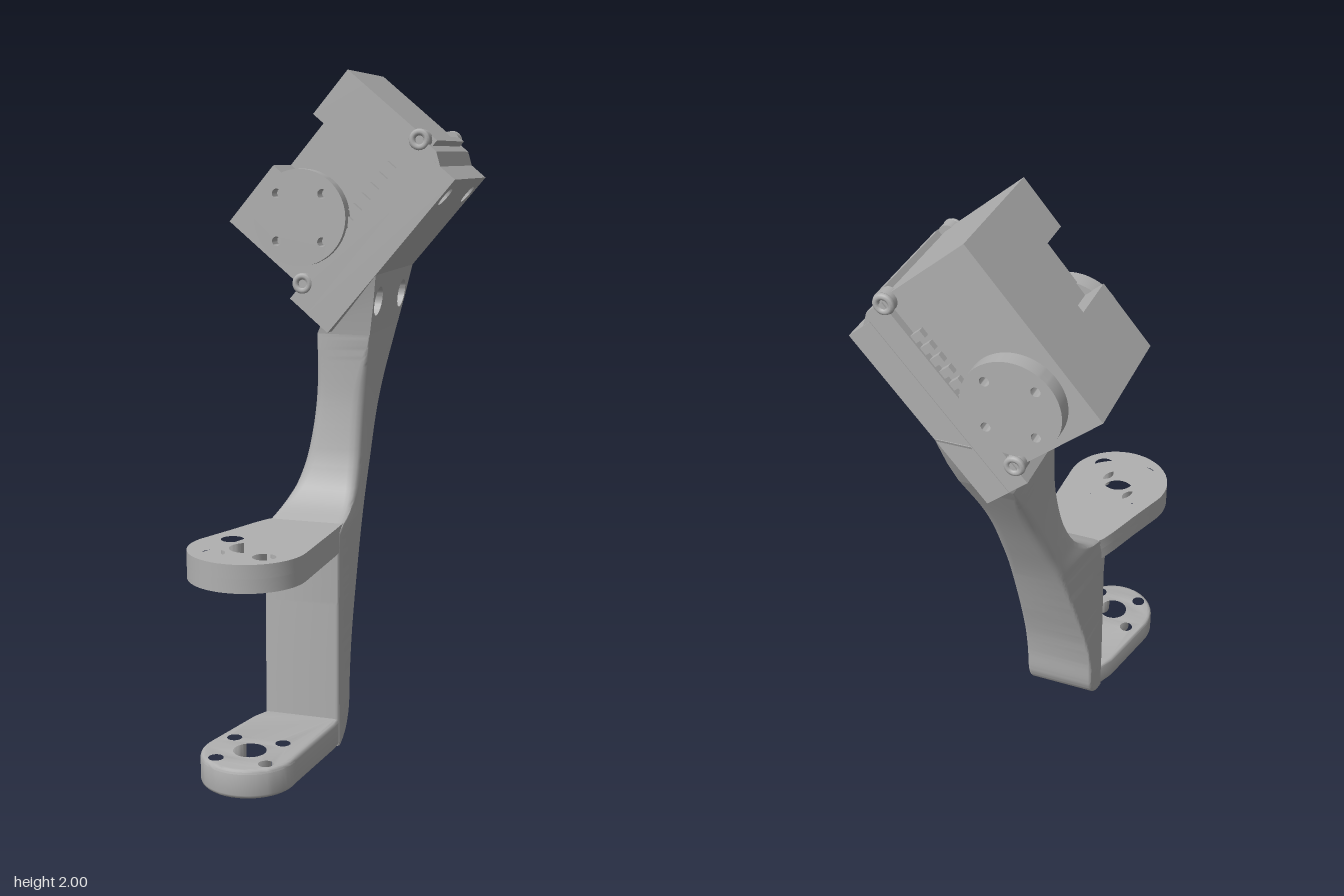
import * as THREE from 'three';
import { toCreasedNormals } from 'three/addons/utils/BufferGeometryUtils.js';

const grey = new THREE.MeshStandardMaterial({ color: 0xb0b0b0 });
grey.name = 'grey';
const V = (x, y) => new THREE.Vector2(x, y);

function add(parent, name, geometry, x = 0, y = 0, z = 0) {
  const mesh = new THREE.Mesh(geometry, grey);
  mesh.name = name;
  mesh.position.set(x, y, z);
  parent.add(mesh);
  return mesh;
}

// Box given by its limits on each axis
function slab(parent, name, x0, x1, y0, y1, z0, z1) {
  return add(parent, name, new THREE.BoxGeometry(x1 - x0, y1 - y0, z1 - z0),
    (x0 + x1) / 2, (y0 + y1) / 2, (z0 + z1) / 2);
}

// Shape with round holes, each hole being [x, y, radius]
function plateShape(points, holes = []) {
  const shape = new THREE.Shape(points);
  for (const [x, y, r] of holes) {
    shape.holes.push(new THREE.Path().absarc(x, y, r, 0, Math.PI * 2, true));
  }
  return shape;
}

function extrude(shape, depth, bevel = 0) {
  return new THREE.ExtrudeGeometry(shape, {
    depth: depth - 2 * bevel, curveSegments: 20, bevelEnabled: bevel > 0,
    bevelSize: bevel, bevelThickness: bevel, bevelOffset: -bevel, bevelSegments: 3,
  }).translate(0, 0, bevel);
}

// Smooth look-up in a table of [y, value]
function lookup(table, y) {
  const last = table.length - 1;
  if (y <= table[0][0]) return table[0][1];
  if (y >= table[last][0]) return table[last][1];
  const i = table.findIndex(([ty]) => ty > y) - 1;
  const slope = (k) => {
    const [y0, a] = table[Math.max(k - 1, 0)], [y1, b] = table[Math.min(k + 1, last)];
    return (b - a) / (y1 - y0);
  };
  const [y0, a] = table[i], [y1, b] = table[i + 1], h = y1 - y0, t = (y - y0) / h;
  return a + (b - a) * t * t * (3 - 2 * t)
    + h * t * (1 - t) * ((1 - t) * slope(i) - t * slope(i + 1));
}

// Lever with a round end, hub hole and four screw holes, lying flat
const HUB_X = -0.07, HUB_Z = 0.51;
function lever(parent, name, r, root, y0, y1, hubR, screwR, bevel) {
  const pts = [V(0.105, -root[0][1]), V(0.105, -0.25)];
  for (let i = 0; i <= 28; i++) {
    const t = (i / 28) * Math.PI * 1.1;
    pts.push(V(HUB_X + r * Math.cos(t), -HUB_Z - r * Math.sin(t)));
  }
  for (const [x, z] of [...root].reverse()) pts.push(V(x, -z));
  const holes = [[HUB_X, -HUB_Z, hubR]];
  for (let i = 0; i < 4; i++) {
    const t = Math.PI / 4 + i * Math.PI / 2;
    holes.push([HUB_X + 0.105 * Math.cos(t), -HUB_Z + 0.105 * Math.sin(t), screwR]);
  }
  const g = extrude(plateShape(pts, holes), y1 - y0, bevel).rotateX(-Math.PI / 2);
  add(parent, name, toCreasedNormals(g, 0.6), 0, y0, 0);
}

// Stem limits by height: back and front in z, edges in x
const STEM_TOP = 1.22;
const zMin = [[0, 0.195], [0.01, 0.165], [0.03, 0.135], [0.06, 0.112], [0.1, 0.098], [0.2, 0.09],
  [0.32, 0.068], [0.5, 0.012], [0.68, -0.055], [0.85, -0.135], [1.0, -0.213], [1.22, -0.34]];
const zMax = [[0, 0.218], [0.64, 0.218], [0.66, 0.215], [0.68, 0.18], [0.69, 0.147],
  [0.705, 0.115], [0.73, 0.085], [0.76, 0.06], [0.81, 0.037], [0.87, 0.02], [1.0, 0.001],
  [1.1, -0.004], [1.22, -0.005]];
const xLowInner = [[0, -0.126], [0.5, -0.126], [0.66, -0.126], [0.76, -0.085], [0.85, -0.06],
  [1.0, -0.04], [1.22, -0.03]];
const xLowOuter = [[0, -0.126], [0.2, -0.126], [0.44, -0.1], [0.68, -0.07], [0.85, -0.052],
  [1.0, -0.04], [1.22, -0.03]];
const xHigh = [[0, 0.107], [0.6, 0.107], [0.8, 0.113], [1.0, 0.117], [1.22, 0.135]];
const cornerRadius = [[0, 0.012], [0.6, 0.014], [0.8, 0.035], [1.05, 0.035], [1.22, 0.003]];

// Rounded four-cornered section of the stem at height y
function stemSection(y) {
  const a = lookup(zMin, y), b = lookup(zMax, y), h = lookup(xHigh, y);
  const corners = [V(lookup(xLowInner, y), b), V(h, b), V(h, a), V(lookup(xLowOuter, y), a)];
  return corners.flatMap((c, i) => {
    const toward = (o) => c.clone().lerp(o, Math.min(0.45, lookup(cornerRadius, y) / c.distanceTo(o)));
    return new THREE.QuadraticBezierCurve(toward(corners[(i + 3) % 4]), c, toward(corners[(i + 1) % 4])).getPoints(4);
  });
}

function stemGeometry() {
  const rows = 122, n = 20, positions = [], index = [];
  for (let i = 0; i <= rows; i++) {
    const y = STEM_TOP * i / rows;
    for (const p of stemSection(y)) positions.push(p.x, y, p.y);
  }
  for (let i = 0; i < rows; i++) {
    for (let j = 0; j < n; j++) {
      const a = i * n + j, b = i * n + (j + 1) % n;
      index.push(a, b, b + n, a, b + n, a + n);
    }
  }
  for (let j = 1; j < n - 1; j++) index.push(0, j + 1, j);
  const g = new THREE.BufferGeometry();
  g.setAttribute('position', new THREE.Float32BufferAttribute(positions, 3));
  g.setIndex(index);
  return toCreasedNormals(g, 0.6);
}

function buildBracket() {
  const bracket = new THREE.Group();
  bracket.name = 'bracket';

  // Levers; the upper one is two layers to give counterbored screw holes
  const upperRoot = [[-0.095, 0.15], [-0.126, 0.19], [-0.148, 0.24], [-0.185, 0.34]];
  lever(bracket, 'lowerLever', 0.14, [[-0.124, 0.205], [-0.15, 0.26]], 0, 0.085, 0.06, 0.034, 0.012);
  lever(bracket, 'upperLeverBase', 0.17, upperRoot, 0.6, 0.64, 0.053, 0.02, 0);
  lever(bracket, 'upperLeverTop', 0.17, upperRoot, 0.64, 0.68, 0.053, 0.033, 0);
  add(bracket, 'stem', stemGeometry());

  // Head of the stem, with two screwdriver holes, leaning onto the mounting plate
  const outline = [[-0.34, STEM_TOP], [-0.383, 1.31], [-0.42, 1.41], [0.04, 1.41], [0.01, 1.31], [-0.005, STEM_TOP]];
  const holes = [-0.046, -0.326].map((z) => [-z, 1.32, 0.044]);
  const g = extrude(plateShape(outline.map(([z, y]) => V(-z, y)), holes), 1).rotateY(Math.PI / 2);
  const p = g.attributes.position;
  for (let i = 0; i < p.count; i++) {
    const t = (p.getY(i) - STEM_TOP) / (1.41 - STEM_TOP);
    const low = -0.03 + 0.09 * t, high = 0.135 + 0.03 * t;
    p.setX(i, low + (high - low) * p.getX(i));
  }
  add(bracket, 'stemHead', toCreasedNormals(g, 0.6));
  return bracket;
}

function buildActuator() {
  // Local x points to the mounting plate, y along the case, z along the output axis
  const motor = new THREE.Group();
  motor.name = 'actuator';
  const H = 0.203;

  // Case with a notch in its back
  slab(motor, 'case', 0.066, 0.3, -0.58, 0, -H, H);
  slab(motor, 'caseBackTop', 0, 0.066, -0.165, 0, -H, H);
  slab(motor, 'caseBackMiddle', 0, 0.066, -0.36, -0.165, -H, 0.036);
  slab(motor, 'caseBackBottom', 0, 0.066, -0.58, -0.36, -H, H);

  // Chamfered flange with a ridge, and the mounting plate with screw holes
  const flange = plateShape([V(0.3, -0.625), V(0.37, -0.625), V(0.4, -0.032), V(0.36, -0.005), V(0.3, -0.005)]);
  add(motor, 'flange', toCreasedNormals(extrude(flange, 0.456), 0.3), 0, 0, -0.228);
  slab(motor, 'flangeRidge', 0.315, 0.335, -0.01, 0.015, -0.19, 0.19);
  const rect = [V(-0.23, -0.625), V(0.23, -0.625), V(0.23, -0.03), V(-0.23, -0.03)];
  const holes = [];
  for (const y of [-0.096, -0.5]) for (const z of [-0.16, 0.16]) holes.push([z, y, 0.032]);
  const plate = extrude(plateShape(rect, holes), 0.085).rotateY(Math.PI / 2);
  add(motor, 'mountingPlate', toCreasedNormals(plate, 0.6), 0.37, 0, 0);

  // Output disc with four screw holes
  const discHoles = [0, 1, 2, 3].map((i) => {
    const t = i * Math.PI / 2 - 0.09;
    return [0.1 * Math.cos(t), 0.1 * Math.sin(t), 0.014];
  });
  const rim = new THREE.Path().absarc(0, 0, 0.143, 0, Math.PI * 2).getPoints(48);
  const discGeometry = toCreasedNormals(extrude(plateShape(rim, discHoles), 0.055), 0.6);

  for (const s of [1, -1]) {
    const side = new THREE.Group();
    side.name = s > 0 ? 'rightSide' : 'leftSide';
    if (s < 0) side.rotation.y = Math.PI;
    motor.add(side);
    const disc = add(side, 'outputDisc', discGeometry, s * 0.172, -0.415, 0.196);
    disc.rotation.z = s < 0 ? 0.18 : 0;
    // Cooling ribs next to the flange
    for (let i = 0; i < 6; i++) {
      const y = -0.12 - i * 0.04;
      slab(side, 'coolingRib', s * 0.285 - 0.02, s * 0.285 + 0.02, y - 0.024, y, H - 0.01, 0.222);
    }
    // Screw eyes at both ends of the flange
    for (const y of [-0.012, -0.565]) {
      add(side, 'screwEye', new THREE.TorusGeometry(0.022, 0.01, 8, 20), s * 0.3, y, 0.224);
      const post = new THREE.CylinderGeometry(0.03, 0.03, 0.04, 20).rotateX(Math.PI / 2);
      add(side, 'screwPost', post, s * 0.3, y, 0.203);
    }
  }
  motor.rotation.z = -THREE.MathUtils.degToRad(40);
  motor.position.set(0.07, 2.0, -0.187);
  return motor;
}

export function createModel() {
  const model = new THREE.Group();
  model.name = 'robotJoint';
  const turned = new THREE.Group();
  turned.name = 'joint';
  turned.rotation.y = -Math.PI / 4;
  turned.add(buildBracket(), buildActuator());
  model.add(turned);
  return model;
}
